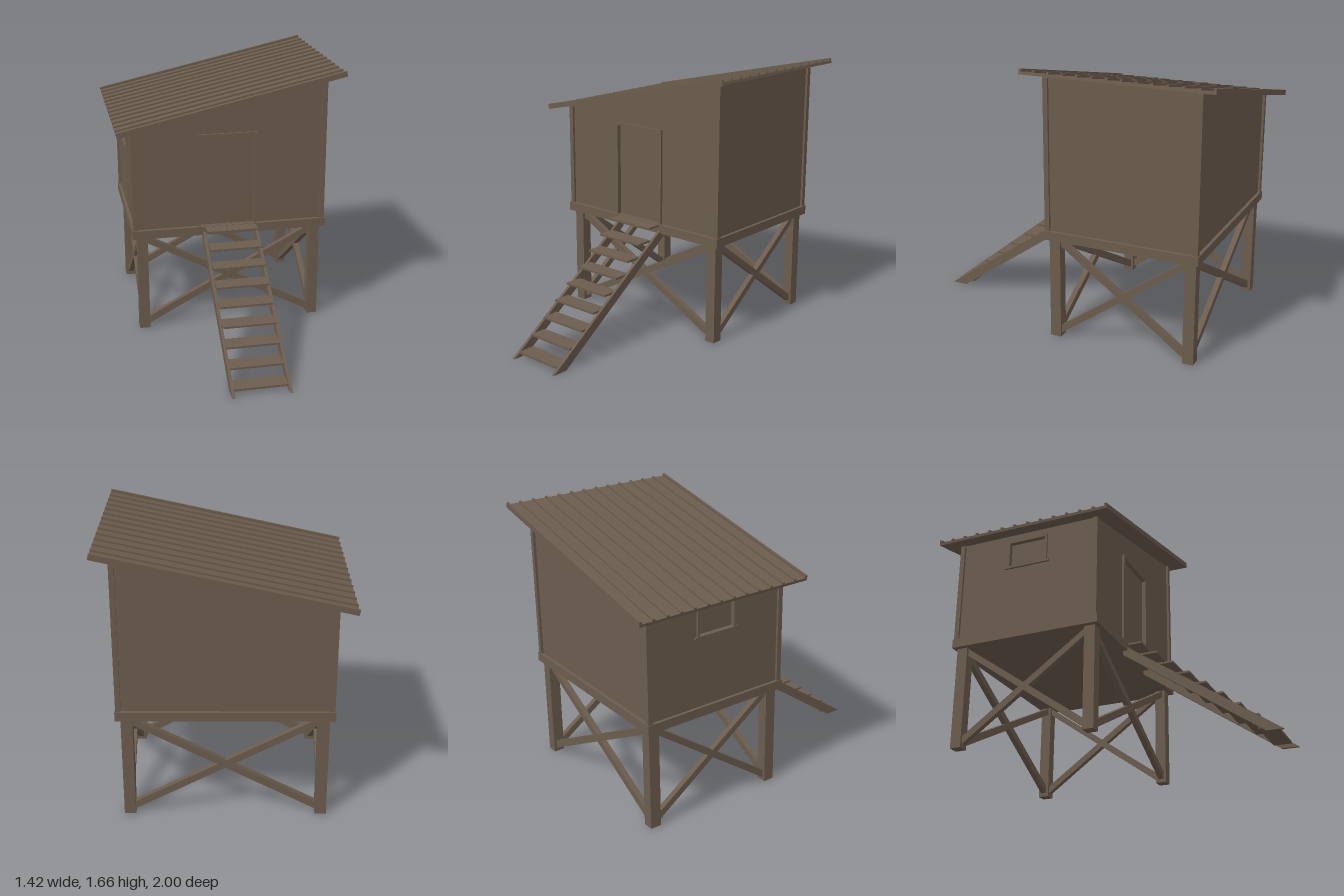
import * as THREE from 'three';

const wood = new THREE.MeshStandardMaterial({ color: 0x6b5c4d });
wood.name = 'weathered wood';

const MID_Z = -0.42;                             // centre of the hut
const SLOPE = 0.2205;                            // roof rise per unit of x
const roofY = (x) => 1.475 + SLOPE * x;          // underside of the roof

function add(parent, name, geometry) {
  const mesh = new THREE.Mesh(geometry, wood);
  mesh.name = name;
  parent.add(mesh);
  return mesh;
}

// Box given by its lower and upper limits on each axis
function box(parent, name, x0, x1, y0, y1, z0, z1) {
  const mesh = add(parent, name, new THREE.BoxGeometry(x1 - x0, y1 - y0, z1 - z0));
  mesh.position.set((x0 + x1) / 2, (y0 + y1) / 2, (z0 + z1) / 2);
  return mesh;
}

const path = (points) => points.map(([x, y]) => new THREE.Vector2(x, y));

// Flat outline in x/y, from z up to z + depth, with an optional hole
function plateXY(parent, name, points, z, depth, hole) {
  const shape = new THREE.Shape(path(points));
  if (hole) shape.holes.push(new THREE.Path(path(hole)));
  const mesh = add(parent, name, new THREE.ExtrudeGeometry(shape, { depth, bevelEnabled: false }));
  mesh.position.z = z;
  return mesh;
}

// Flat outline in z/y, from x down to x - depth
function plateZY(parent, name, points, x, depth, hole) {
  const mesh = plateXY(parent, name, points, 0, depth, hole);
  mesh.rotation.y = -Math.PI / 2;
  mesh.position.x = x;
  return mesh;
}

const rect = (x0, x1, y0, y1) => [[x0, y0], [x1, y0], [x1, y1], [x0, y1]];

function buildBase(root) {
  const base = new THREE.Group();
  base.name = 'base';
  root.add(base);
  for (const x of [-0.557, 0.557]) {
    for (const z of [0.003, -0.845]) box(base, 'stilt', x - 0.033, x + 0.033, 0, 0.64, z - 0.034, z + 0.034);
  }
  // Crossed braces between each pair of stilts
  const brace = (a, b, rising) => (rising
    ? [[a, 0.02], [b, 0.585], [b, 0.63], [a, 0.07]]
    : [[a, 0.585], [b, 0.02], [b, 0.07], [a, 0.63]]);
  for (const rising of [true, false]) {
    for (const z of [0.003, -0.845]) plateXY(base, 'crossBrace', brace(-0.53, 0.53, rising), z - 0.017, 0.034);
    for (const x of [-0.557, 0.557]) plateZY(base, 'sideBrace', brace(-0.815, -0.03, rising), x + 0.017, 0.034);
  }
  box(base, 'floor', -0.62, 0.62, 0.63, 0.685, -0.9, 0.065);
}

function buildCabin(root) {
  const cabin = new THREE.Group();
  cabin.name = 'cabin';
  root.add(cabin);
  const gable = [[-0.6, 0.68], [0.6, 0.68], [0.6, roofY(0.6)], [-0.6, roofY(-0.6)]];
  plateXY(cabin, 'frontWall', gable, 0.02, 0.02, rect(-0.188, 0.155, 0.686, 1.268));
  plateXY(cabin, 'backWall', gable, -0.88, 0.02);
  plateZY(cabin, 'leftWall', rect(-0.87, 0.03, 0.68, 1.605), 0.6, 0.02);
  plateZY(cabin, 'rightWall', rect(-0.87, 0.03, 0.68, 1.34), -0.58, 0.02, rect(-0.54, -0.3, 1.12, 1.28));

  // Corner posts
  for (const z of [0.025, -0.895]) {
    box(cabin, 'cornerPost', -0.615, -0.585, 0.68, 1.335, z, z + 0.03);
    box(cabin, 'cornerPost', 0.585, 0.615, 0.68, 1.602, z, z + 0.03);
  }

  // Recessed door with a raised frame
  box(cabin, 'door', -0.19, 0.157, 0.685, 1.27, 0.015, 0.028);
  box(cabin, 'doorJamb', -0.205, -0.187, 0.685, 1.285, 0.02, 0.055);
  box(cabin, 'doorJamb', 0.154, 0.172, 0.685, 1.285, 0.02, 0.055);
  box(cabin, 'doorHead', -0.187, 0.154, 1.267, 1.285, 0.02, 0.055);

  // Small window with frame and sill
  box(cabin, 'windowPane', -0.582, -0.575, 1.11, 1.29, -0.55, -0.29);
  for (const z of [-0.555, -0.3]) box(cabin, 'windowJamb', -0.612, -0.58, 1.12, 1.295, z, z + 0.015);
  box(cabin, 'windowHead', -0.612, -0.58, 1.28, 1.295, -0.54, -0.3);
  box(cabin, 'windowSill', -0.614, -0.58, 1.105, 1.12, -0.57, -0.27);
}

function buildRoof(root) {
  const roof = new THREE.Group();
  roof.name = 'roof';
  roof.position.set(0.002, roofY(0), MID_Z);
  roof.rotation.z = Math.atan(SLOPE);
  root.add(roof);
  const half = 0.722;
  box(roof, 'roofSheet', -half, half, 0, 0.017, -0.575, 0.575);
  for (const s of [-1, 1]) {
    box(roof, 'roofEdge', -half, half, 0, 0.033, s * 0.568 - 0.007, s * 0.568 + 0.007);
  }
  for (let i = 0; i < 12; i++) {
    const z = -0.485 + i * 0.0882;
    box(roof, 'roofRib', -half, half, 0.015, 0.028, z - 0.007, z + 0.007);
  }
}

function buildStairs(root) {
  const stairs = new THREE.Group();
  stairs.name = 'stairs';
  root.add(stairs);
  const side = [[0.9, 0], [1, 0], [0.035, 0.67], [0.035, 0.605]];
  for (const x of [-0.16, 0.178]) plateZY(stairs, 'stringer', side, x, 0.018);
  for (let i = 0; i < 9; i++) {
    const y = 0.029 + i * 0.081;
    const z = 0.958 - i * 0.101;
    box(stairs, 'tread', -0.162, 0.162, y - 0.006, y + 0.006, z - 0.108, z);
  }
}

export function createModel() {
  const root = new THREE.Group();
  root.name = 'stiltCabin';
  buildBase(root);
  buildCabin(root);
  buildRoof(root);
  buildStairs(root);
  return root;
}
